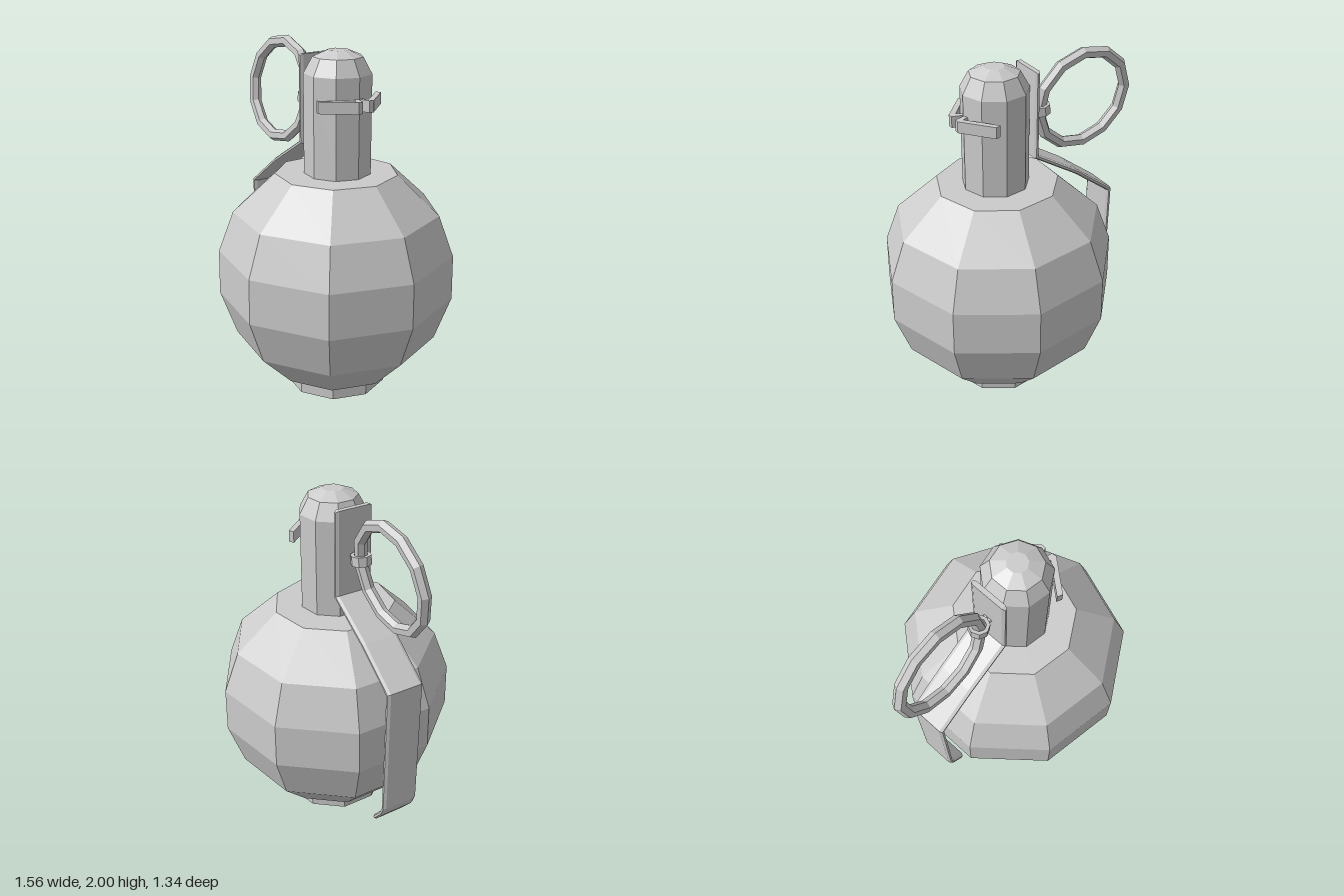
import * as THREE from 'three';

const material = new THREE.MeshStandardMaterial({ color: 0xcccccc, flatShading: true });

function addMesh(parent, name, geometry) {
  const mesh = new THREE.Mesh(geometry, material);
  mesh.name = name;
  parent.add(mesh);
  return mesh;
}

const toVectors = (points) => points.map(([x, y]) => new THREE.Vector2(x, y));

// Nine-sided turned part with one corner pointing to +x
function turned(points) {
  return new THREE.LatheGeometry(toVectors(points), 9, Math.PI / 2);
}

// Flat outline in x and z, raised from y to y + height
function slab(shape, y, height) {
  const geometry = new THREE.ExtrudeGeometry(shape, { depth: height, bevelEnabled: false });
  return geometry.rotateX(-Math.PI / 2).translate(0, y, 0);
}

// Closed outline of a strip of constant thickness along a polyline
function stripShape(path, thickness) {
  const pts = toVectors(path);
  const sideA = [], sideB = [];
  pts.forEach((p, i) => {
    const before = p.clone().sub(pts[Math.max(i - 1, 0)]).normalize();
    const after = pts[Math.min(i + 1, pts.length - 1)].clone().sub(p).normalize();
    const d = before.clone().add(after).normalize();
    const n = new THREE.Vector2(-d.y, d.x);
    const ref = i === 0 ? after : before;
    n.multiplyScalar(thickness / 2 / d.dot(ref));
    sideA.push(p.clone().add(n));
    sideB.unshift(p.clone().sub(n));
  });
  return new THREE.Shape([...sideA, ...sideB]);
}

function polygon(radius, sides) {
  return Array.from({ length: sides }, (_, i) => {
    const a = (i / sides) * Math.PI * 2;
    return new THREE.Vector2(radius * Math.cos(a), radius * Math.sin(a));
  });
}

export function createModel() {
  const model = new THREE.Group();
  model.name = 'grenade';

  // Round body, foot and domed neck
  addMesh(model, 'body', turned([
    [0, 0.11], [0.38, 0.11], [0.59, 0.325], [0.682, 0.585],
    [0.678, 0.845], [0.59, 1.08], [0.35, 1.3], [0, 1.3],
  ])).position.x = 0.1;
  addMesh(model, 'foot', turned([[0, 0], [0.295, 0], [0.295, 0.12], [0, 0.12]])).position.x = 0.1;
  addMesh(model, 'neck', turned([
    [0, 1.29], [0.19, 1.29], [0.19, 1.86], [0.14, 1.95], [0.058, 1.985], [0, 1.985],
  ])).position.x = 0.11;

  // Bent safety lever with chamfered edges
  const leverShape = stripShape([
    [-0.095, 1.945], [-0.095, 1.445], [-0.37, 1.275], [-0.61, 1.095],
    [-0.602, 0.31], [-0.582, 0.26], [-0.51, 0.175],
  ], 0.028);
  addMesh(model, 'lever', new THREE.ExtrudeGeometry(leverShape, {
    depth: 0.19, bevelEnabled: true, bevelSegments: 1,
    bevelSize: 0.008, bevelOffset: -0.008, bevelThickness: 0.017,
  }).translate(0, 0, -0.095));

  // Pull ring, slightly tilted
  const ring = addMesh(model, 'pullRing', new THREE.TorusGeometry(0.288, 0.035, 6, 12));
  ring.position.set(-0.457, 1.68, 0);
  ring.rotation.set(-0.12, 0, -0.1);

  // Split pin: eye around the ring, two prongs, two splayed ends
  const pin = new THREE.Group();
  pin.name = 'splitPin';
  model.add(pin);
  const eye = new THREE.Shape(polygon(0.058, 8));
  eye.holes.push(new THREE.Path(polygon(0.038, 8)));
  const eyeMesh = addMesh(pin, 'pinEye', slab(eye, -0.027, 0.054));
  eyeMesh.position.set(-0.177, 1.678, 0);
  eyeMesh.rotation.z = -0.1;

  for (const side of [1, -1]) {
    const prong = addMesh(pin, 'pinProng', new THREE.CylinderGeometry(0.014, 0.014, 0.12, 6));
    prong.rotation.z = Math.PI / 2;
    prong.position.set(-0.085, 1.675, side * 0.014);

    const end = new THREE.Shape(toVectors([
      [0.22, 0.005], [0.3, 0.005], [0.358, 0.022], [0.36, 0.05],
      [0.22, 0.215], [0.19, 0.202], [0.322, 0.045], [0.3, 0.03], [0.22, 0.03],
    ].map(([x, z]) => [x, z * side])));
    addMesh(pin, 'pinEnd', slab(end, 1.68, 0.065));
  }

  return model;
}
